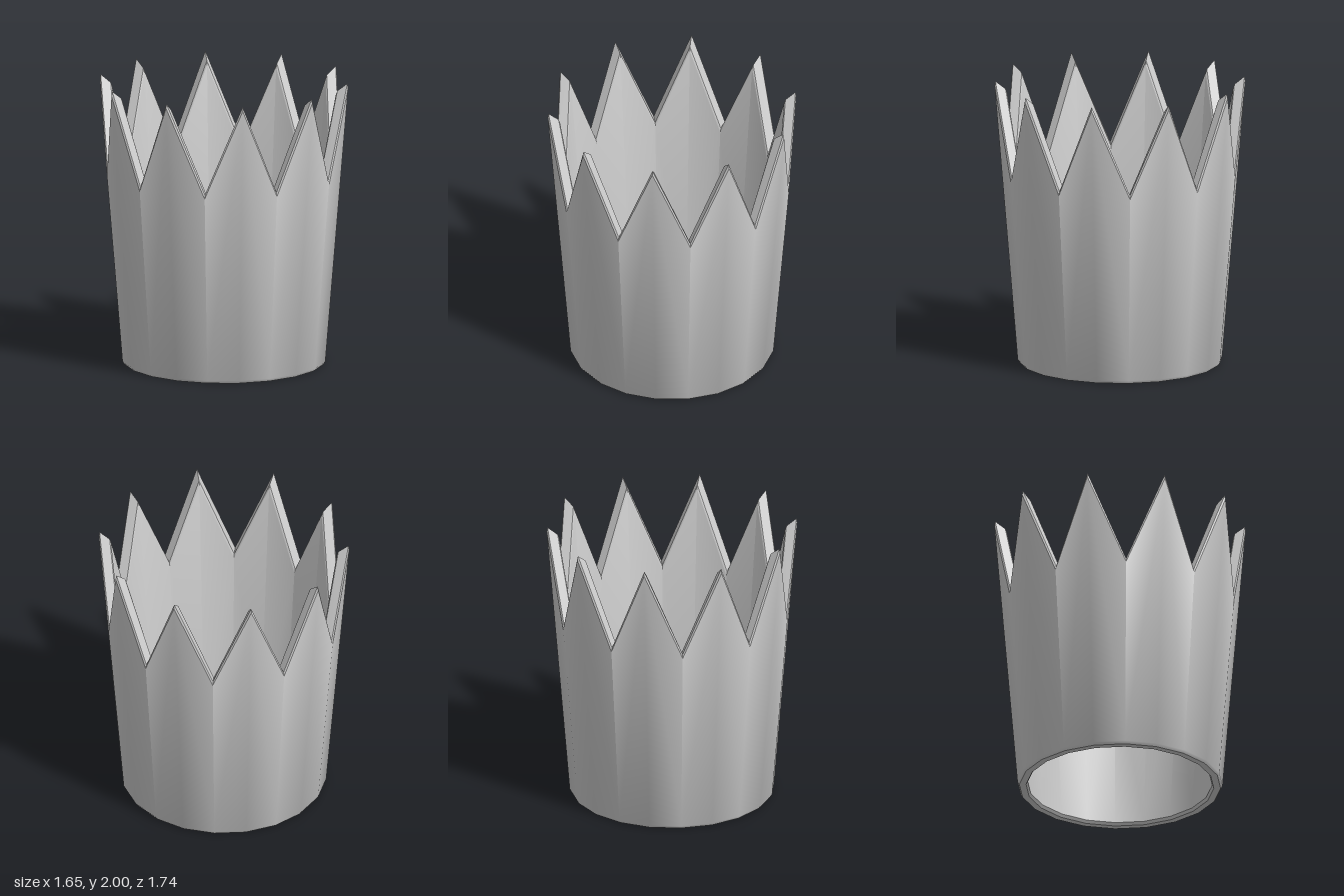
import * as THREE from 'three';
import { toCreasedNormals } from 'three/addons/utils/BufferGeometryUtils.js';

const SIDES = 20;

// Closed wall cross-sections as [radius, height]: up the outside, over the rim, down the inside.
const foot = [[0.697, 0], [0.71, 0.02]];
const innerFoot = [[0.637, 0.02], [0.65, 0]];
const peakSection = [...foot, [0.87, 1.97], [0.864, 2.0], [0.794, 1.945], [0.783, 1.915], ...innerFoot];
const valleySection = [...foot, [0.818, 1.335], [0.81, 1.362], [0.744, 1.35], [0.735, 1.32], ...innerFoot];

// Sweeps alternating peak and valley sections around the vertical axis.
function createWall() {
  const count = peakSection.length;
  const positions = [];
  const indices = [];
  for (let j = 0; j < SIDES; j++) {
    const angle = (j / SIDES) * Math.PI * 2;
    for (const [r, y] of j % 2 ? valleySection : peakSection) {
      positions.push(r * Math.sin(angle), y, r * Math.cos(angle));
    }
    const next = (j + 1) % SIDES;
    for (let i = 0; i < count; i++) {
      const k = (i + 1) % count;
      const a = j * count + i, b = next * count + i;
      const c = next * count + k, d = j * count + k;
      // Mirror the diagonal so both flanks of a point match
      if (j % 2) indices.push(a, b, c, a, c, d);
      else indices.push(a, b, d, b, c, d);
    }
  }
  const geometry = new THREE.BufferGeometry();
  geometry.setAttribute('position', new THREE.Float32BufferAttribute(positions, 3));
  geometry.setIndex(indices);
  return toCreasedNormals(geometry, 0.6);
}

export function createModel() {
  const group = new THREE.Group();
  group.name = 'crown';
  const band = new THREE.Mesh(createWall(), new THREE.MeshStandardMaterial({ color: 0xcccccc }));
  band.name = 'pointedBand';
  group.add(band);
  return group;
}
